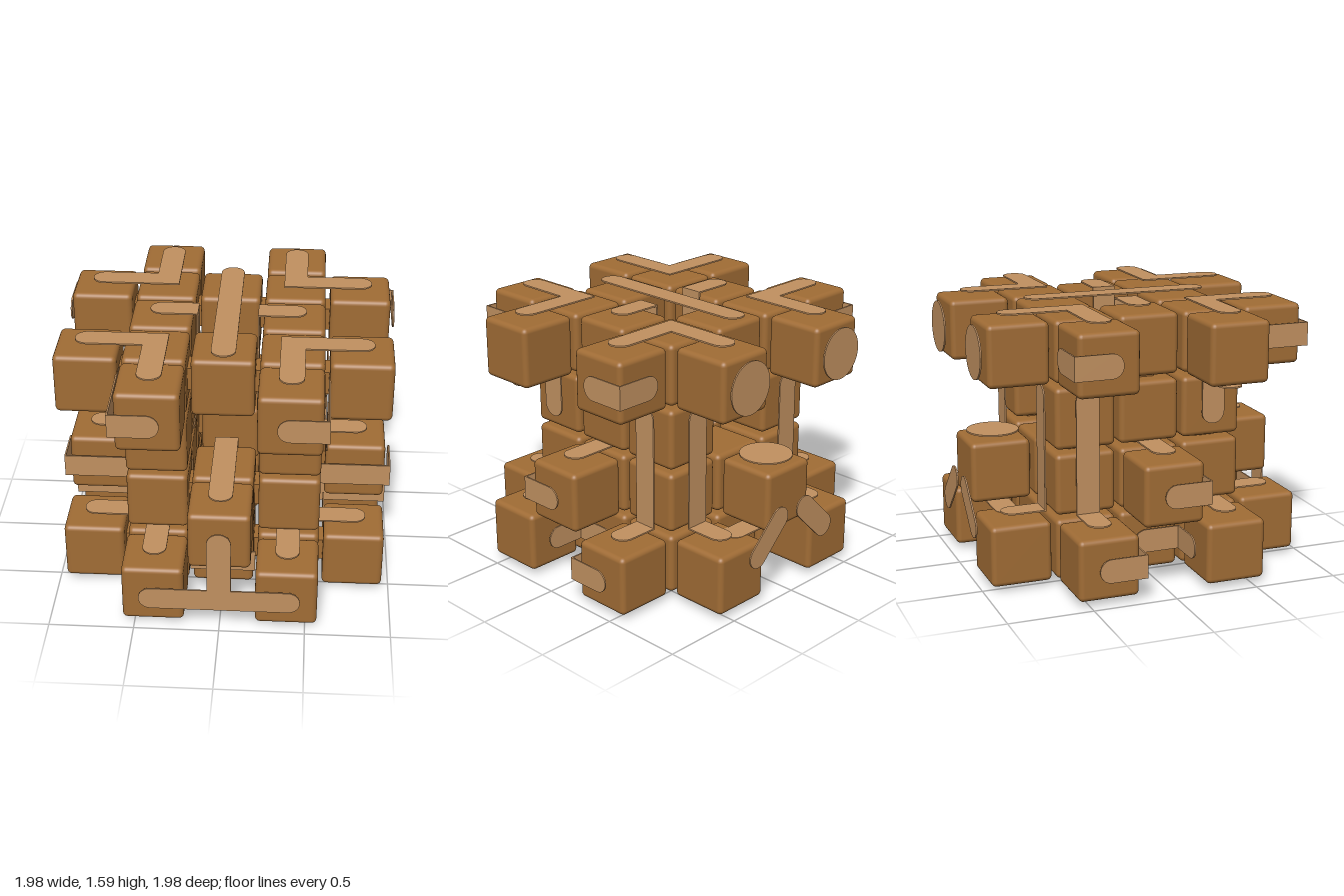
import * as THREE from 'three';
import { RoundedBoxGeometry } from 'three/addons/geometries/RoundedBoxGeometry.js';

const C = 0.388;          // spacing of the block grid
const SIZE = 0.36;        // block edge
const OFF = 0.21;         // strap plane, measured from a block centre
const R = 0.07;           // half strap width
const T = 0.009;          // strap thickness
const Y = [0, 1, 2, 3].map((l) => 0.22 + l * C);

export function createModel() {
  const model = new THREE.Group();
  const wood = new THREE.MeshStandardMaterial({ color: 0xa06c35 });
  wood.name = 'brown wood';
  const pale = new THREE.MeshStandardMaterial({ color: 0xc09060 });
  pale.name = 'pale strap';

  const add = (geometry, material, name) => {
    const mesh = new THREE.Mesh(geometry, material);
    mesh.name = name;
    model.add(mesh);
    return mesh;
  };

  // Blocks: the top and bottom layers are alike, the middle two are smaller
  const corners = [];
  for (const a of [-1, 1]) for (const b of [-1, 1]) corners.push([a, b]);
  const ring = [[1, 0], [-1, 0], [0, 1], [0, -1]];
  const wide = [...corners, ...ring];
  for (const [a, b] of corners) wide.push([a, 2 * b], [2 * a, b]);
  const cross = [...corners, ...ring, ...ring.map(([a, b]) => [2 * a, 2 * b])];
  const layers = [wide, cross, [...corners, [1, 0], [-1, 0]], wide];
  const blockGeo = new RoundedBoxGeometry(SIZE, SIZE, SIZE, 3, 0.03);
  const cells = new Set();
  layers.forEach((list, l) => list.forEach(([i, k]) => {
    add(blockGeo, wood, 'block').position.set(i * C, Y[l], k * C);
    cells.add([i, l, k].join());
  }));

  // Short pegs between neighbouring blocks
  const pegGeo = new THREE.BoxGeometry(0.14, 0.14, 0.14);
  for (const key of cells) {
    const c = key.split(',').map(Number);
    for (let axis = 0; axis < 3; axis++) {
      const n = c.map((v, j) => v + (j === axis ? 1 : 0));
      if (!cells.has(n.join())) continue;
      add(pegGeo, wood, 'peg').position.set(
        (c[0] + n[0]) * C / 2, (Y[c[1]] + Y[n[1]]) / 2, (c[2] + n[2]) * C / 2);
    }
  }

  // One flat strap piece from p to q, facing n, with round or square ends
  function piece(p, q, n, startRound, endRound, ext = [T / 2, T / 2]) {
    const a = new THREE.Vector3(...p), b = new THREE.Vector3(...q);
    const w = new THREE.Vector3(...n);
    const u = b.clone().sub(a);
    const len = u.length();
    u.normalize();
    const s = new THREE.Shape();
    const e0 = startRound ? 0 : -ext[0], e1 = len + (endRound ? 0 : ext[1]);
    s.moveTo(e0, -R);
    s.lineTo(e1, -R);
    if (endRound) s.absarc(len, 0, R, -Math.PI / 2, Math.PI / 2, false);
    else s.lineTo(e1, R);
    s.lineTo(e0, R);
    if (startRound) s.absarc(0, 0, R, Math.PI / 2, Math.PI * 1.5, false);
    else s.lineTo(e0, -R);
    const geo = new THREE.ExtrudeGeometry(s, { depth: T, bevelEnabled: false, curveSegments: 10 });
    geo.translate(0, 0, -T / 2);
    const v = new THREE.Vector3().crossVectors(w, u);
    geo.applyMatrix4(new THREE.Matrix4().makeBasis(u, v, w).setPosition(a));
    add(geo, pale, 'strap');
  }

  // Strap that folds at each inner point; round at the start, and at the end if asked
  function strap(points, normals, endRound = true) {
    normals.forEach((n, i) => piece(points[i], points[i + 1], n, i === 0,
      endRound && i === normals.length - 1));
  }

  const UP = [0, 1, 0], DOWN = [0, -1, 0], FRONT = [0, 0, 1], BACK = [0, 0, -1];
  const side = 2 * C + OFF, mid = C + OFF;
  for (const m of [-1, 1]) {
    const OUT = [m, 0, 0], IN = [-m, 0, 0];
    const P = (x, y, z) => [m * x, y, z];
    const top = Y[3] + OFF;

    // Elbows on the top
    for (const b of [-1, 1]) {
      piece(P(2 * C, top, b * C), P(C, top, b * C), UP, true, false, [0, R]);
      piece(P(C, top, 2 * b * C), P(C, top, b * C), UP, true, false, [0, R]);
    }

    // Straps from the top down into the central well
    strap([P(C, top, 0), P(OFF - 0.03, top, 0), P(OFF - 0.03, Y[2], 0)], [UP, IN]);

    // Upper front and rear wraps
    strap([P(C, Y[3], side), P(mid, Y[3], side), P(mid, Y[3], C)], [FRONT, OUT], false);
    strap([P(2 * C, Y[3], -mid), P(side, Y[3], -mid), P(side, Y[3], -C)], [BACK, OUT]);

    // Folds under the upper wings
    strap([P(2 * C + 0.04, Y[3] - OFF, C), P(mid, Y[3] - OFF, C), P(mid, Y[2] - 0.03, C)],
      [DOWN, OUT]);

    // Middle wings
    strap([P(side, Y[1], 0), P(side, Y[1], OFF), P(OFF, Y[1], OFF)], [OUT, FRONT], false);
    strap([P(2 * C, Y[1] + OFF, 0), P(OFF, Y[1] + OFF, 0)], [UP], false);

    // Tall rear straps that fold onto the lower blocks
    const low = Y[0] + OFF;
    strap([P(mid, 1.1, -C), P(mid, low, -C), P(2 * C, low, -C)], [OUT, UP]);
    strap([P(C, 1.1, -mid), P(C, low, -mid), P(C, low, -2 * C)], [BACK, UP]);

    // Lower wings
    strap([P(C, low, 2 * C), P(C, low, C)], [UP], false);
    strap([P(2 * C, low, C), P(C, low, C)], [UP], false);
    strap([P(side, Y[0], -C), P(side, Y[0], -C + OFF), P(C, Y[0], -C + OFF)],
      [OUT, FRONT], false);
    strap([P(2 * C, Y[0], C - OFF), P(mid, Y[0], C - OFF), P(mid, Y[0], -0.03)],
      [BACK, OUT]);

    // Slanted straps on the back
    piece(P(0.11, 0.51, -side), P(0.29, 0.33, -side), BACK, true, true);

    // Round patch on the back of the upper block
    const patch = add(new THREE.CylinderGeometry(0.155, 0.155, T, 40), pale, 'roundPatch');
    patch.rotation.x = Math.PI / 2;
    patch.position.set(m * C, Y[3], -side);
  }

  // Straight straps across the top, the underside and the lower rear
  piece([0, Y[3] + OFF, -0.495], [0, Y[3] + OFF, 0.495], UP, true, true);
  piece([-0.495, Y[0] - OFF, -C], [0.495, Y[0] - OFF, -C], DOWN, true, true);
  piece([-0.26, Y[1] - OFF, -2 * C], [0.26, Y[1] - OFF, -2 * C], DOWN, true, true);

  // Front tee, and the strap from the front block into the well
  piece([-C - 0.01, Y[0], side], [C + 0.01, Y[0], side], FRONT, true, true);
  piece([0, Y[1] + 0.01, side], [0, Y[0], side], FRONT, true, false);
  strap([[0, Y[1] + OFF, 2 * C], [0, Y[1] + OFF, C - OFF], [0, Y[0], C - OFF]], [UP, BACK]);

  // Strap behind the gap under the front block
  piece([-0.19, Y[0], mid], [0.19, Y[0], mid], FRONT, false, false);

  // Round patch on top of the rear block
  add(new THREE.CylinderGeometry(0.155, 0.155, T, 40), pale, 'roundPatch')
    .position.set(0, Y[1] + OFF, -2 * C);

  return model;
}
